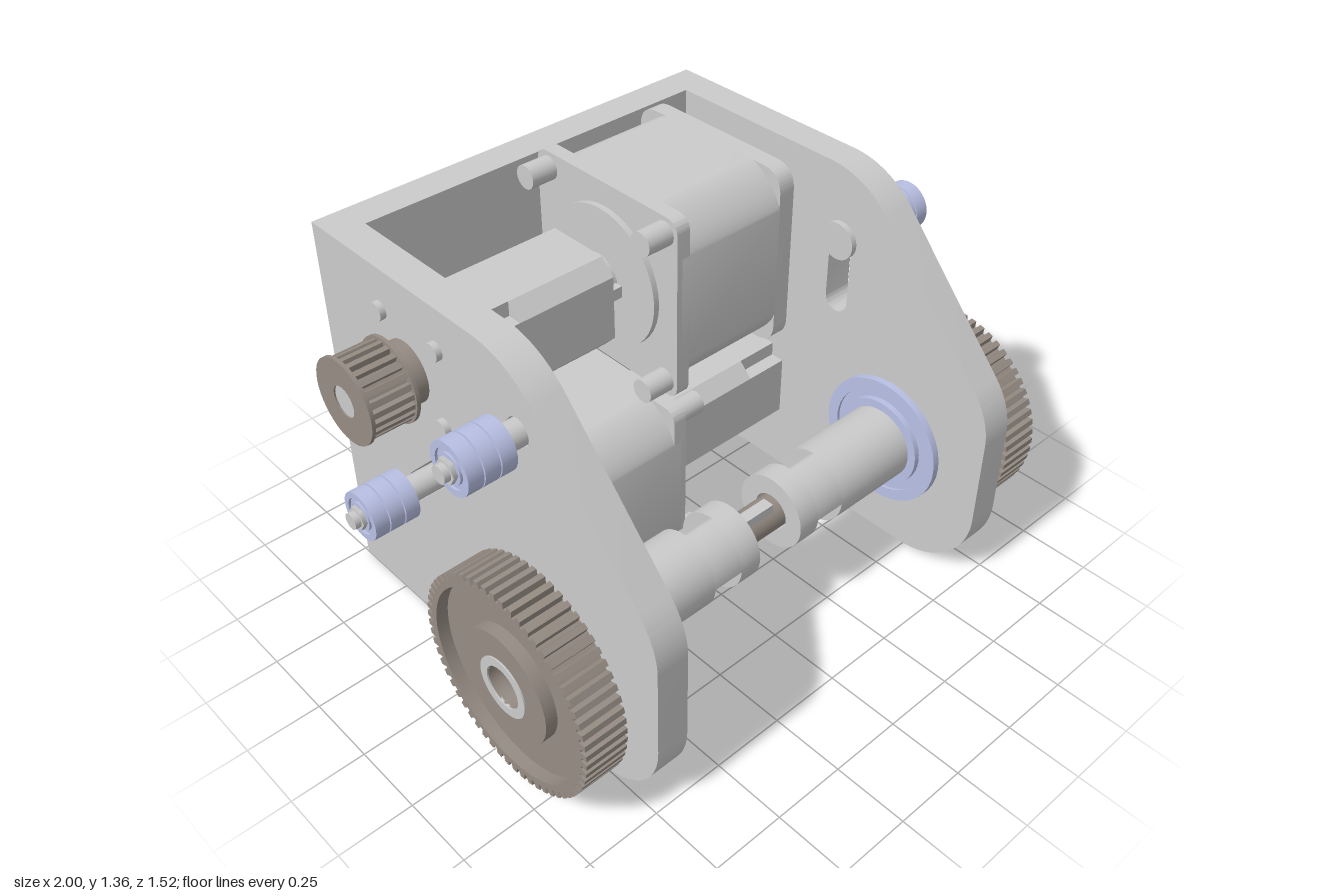
import * as THREE from 'three';
import { toCreasedNormals } from 'three/addons/utils/BufferGeometryUtils.js';

const mat = (color) => new THREE.MeshStandardMaterial({ color });
const grey = mat(0xcccccc), brown = mat(0x968c84), blue = mat(0xb9c0e4);

function add(parent, name, geo, material = grey) {
  const m = new THREE.Mesh(geo, material);
  m.name = name;
  parent.add(m);
  return m;
}
// Cylinder lying along x
function rod(parent, name, r, x0, x1, y, z, material = grey, seg = 40) {
  const g = new THREE.CylinderGeometry(r, r, Math.abs(x1 - x0), seg).rotateZ(-Math.PI / 2);
  return add(parent, name, g.translate((x0 + x1) / 2, y, z), material);
}
// Shape drawn in (-z, y), pushed along x from x0 to x1
function slab(parent, name, shape, x0, x1, y = 0, z = 0, material = grey) {
  const [a, b] = [Math.min(x0, x1), Math.max(x0, x1)];
  const g = new THREE.ExtrudeGeometry(shape, { depth: b - a, bevelEnabled: false, curveSegments: 20 });
  return add(parent, name, toCreasedNormals(g.rotateY(Math.PI / 2).translate(a, y, z), 0.5), material);
}
function box(parent, name, x0, x1, y0, y1, z0, z1) {
  const g = new THREE.BoxGeometry(x1 - x0, y1 - y0, z1 - z0);
  return add(parent, name, g.translate((x0 + x1) / 2, (y0 + y1) / 2, (z0 + z1) / 2));
}
const circle = (r, x = 0, y = 0, C = THREE.Path) => new C().absarc(x, y, r, 0, Math.PI * 2, false);
function ring(r, bore) {
  const s = circle(r, 0, 0, THREE.Shape);
  s.holes.push(circle(bore));
  return s;
}
// Rounded slot between two points
function slot(ax, ay, bx, by, r) {
  const t = Math.atan2(by - ay, bx - ax), h = Math.PI / 2;
  return new THREE.Path().absarc(bx, by, r, t - h, t + h, false)
    .absarc(ax, ay, r, t + h, t + 3 * h, false).closePath();
}
// Belt-tooth outline with a bore
function toothed(n, r, depth, bore) {
  const pts = [], step = (Math.PI * 2) / n;
  for (let i = 0; i < n; i++)
    for (const [f, d] of [[0, depth], [0.3, depth], [0.4, 0], [0.9, 0]])
      pts.push(new THREE.Vector2().setFromPolarCoords?.(1, 0) ??
        new THREE.Vector2(Math.cos((i + f) * step), Math.sin((i + f) * step)).multiplyScalar(r - d));
  const s = new THREE.Shape(pts);
  s.holes.push(circle(bore));
  return s;
}
// Square with corners cut: style 'round', 'scallop', 'chamfer' or 'step'
function square(h, c, style) {
  const s = new THREE.Shape();
  for (let i = 0; i < 4; i++) {
    const a = (i * Math.PI) / 2;
    const p = (x, y) => [x * Math.cos(a) - y * Math.sin(a), x * Math.sin(a) + y * Math.cos(a)];
    i === 0 ? s.moveTo(h, h - c) : s.lineTo(...p(h, h - c));
    if (style === 'round') s.quadraticCurveTo(...p(h, h), ...p(h - c, h));
    else if (style === 'scallop') s.bezierCurveTo(...p(h - c * 0.1, h - c * 0.6), ...p(h - c * 0.6, h - c * 0.1), ...p(h - c, h));
    else {
      if (style === 'step') s.lineTo(...p(h - c, h - c));
      s.lineTo(...p(h - c, h));
    }
  }
  return s.closePath();
}

// Side plate with sloping front and idler slots
function sidePlate(parent, side, slots) {
  const s = new THREE.Shape();
  s.moveTo(0.615, 0).lineTo(0.615, 1.32).lineTo(-0.04, 1.32);
  s.bezierCurveTo(-0.14, 1.32, -0.22, 1.28, -0.28, 1.22).lineTo(-0.69, 0.77);
  s.quadraticCurveTo(-0.76, 0.69, -0.76, 0.59).lineTo(-0.76, 0.28);
  s.absarc(-0.48, 0.28, 0.28, Math.PI, Math.PI * 1.5, false).closePath();
  s.holes.push(circle(0.14, -0.37, 0.4), ...slots);
  slab(parent, 'sidePlate', s, side * 0.64, side * 0.75);
}

// Motor, coupling and gearbox, output towards +x
function motorUnit() {
  const g = new THREE.Group();
  slab(g, 'motorBody', square(0.32, 0.13, 'scallop'), -0.41, 0);
  slab(g, 'motorFlange', square(0.32, 0.05, 'round'), -0.03, 0.02);
  slab(g, 'motorRearCap', square(0.318, 0.08, 'round'), -0.47, -0.41);
  rod(g, 'motorBoss', 0.24, 0.02, 0.04, 0, 0);
  rod(g, 'motorShaft', 0.03, 0.02, 0.16, 0, 0);
  slab(g, 'coupling', ring(0.085, 0.03), 0.05, 0.11);
  box(g, 'couplingClamp', 0.055, 0.105, -0.02, 0.02, 0.06, 0.11);
  slab(g, 'gearboxBody', square(0.16, 0.05, 'chamfer'), 0.13, 0.48);
  slab(g, 'gearboxNeck', square(0.16, 0.05, 'step'), 0.48, 0.64);
  box(g, 'connector', -0.45, -0.34, 0.31, 0.345, -0.07, 0.07);
  for (const y of [-1, 1]) for (const z of [-1, 1]) {
    rod(g, 'motorScrew', 0.04, 0.02, 0.115, y * 0.265, z * 0.265, grey, 20);
    rod(g, 'gearboxScrew', 0.03, 0.74, 0.77, y * 0.135, z * 0.135, grey, 16);
  }
  rod(g, 'gearboxOutput', 0.05, 0.64, 0.975, 0, 0);
  return g;
}

function pulley(parent, side, r, n, hubR, y, z) {
  const g = new THREE.Group();
  g.name = 'drivePulley';
  slab(g, 'pulleyTeeth', toothed(n, r - 0.008, 0.02, 0.05), side * 0.83, side * 0.975, y, z, brown);
  for (const x of [0.82, 0.968])
    slab(g, 'pulleyFlange', ring(r, 0.05), side * x, side * (x + 0.012), y, z, brown);
  slab(g, 'pulleyHub', ring(hubR, 0.05), side * 0.765, side * 0.82, y, z, brown);
  parent.add(g);
}

// Idler: stacked bearings on a bolt
function idler(parent, side, y, z) {
  const g = new THREE.Group();
  g.name = 'idler';
  rod(g, 'idlerBolt', 0.028, side * 0.62, side, y, z, grey, 20);
  rod(g, 'idlerHead', 0.065, side * 0.62, side * 0.64, y, z);
  rod(g, 'idlerSpacer', 0.042, side * 0.64, side * 0.81, y, z);
  for (let i = 0; i < 3; i++) {
    const x = 0.808 + i * 0.054;
    slab(g, 'idlerBearing', ring(0.083, 0.062), side * x, side * (x + 0.05), y, z, blue);
    slab(g, 'idlerInnerRing', ring(0.048, 0.026), side * x, side * (x + 0.05), y, z, blue);
    rod(g, 'idlerShield', 0.07, side * (x + 0.006), side * (x + 0.058 - (i === 2) * 0.016), y, z, blue);
  }
  rod(g, 'idlerNut', 0.04, side * 0.965, side * 0.98, y, z, grey, 6);
  parent.add(g);
}

// Wheel gear, hub, bearing and half of the split axle tube
function wheelSide(parent, side) {
  const y = 0.4, z = 0.37, bore = side > 0 ? 0.02 : 0.07, g = new THREE.Group();
  g.name = 'wheelAssembly';
  slab(g, 'gearRim', toothed(60, 0.357, 0.022, 0.315), side * 0.83, side * 0.975, y, z, brown);
  slab(g, 'gearWeb', ring(0.318, bore), side * 0.85, side * 0.935, y, z, brown);
  slab(g, 'gearBoss', ring(0.187, bore), side * 0.935, side * 0.975, y, z, brown);
  slab(g, 'gearHub', ring(0.185, bore), side * 0.755, side * 0.85, y, z, brown);
  if (side < 0) slab(g, 'boreRing', ring(0.1, 0.07), side * 0.97, side * 0.98, y, z);
  slab(g, 'bearingFlange', ring(0.23, 0.19), side * 0.615, side * 0.64, y, z, blue);
  slab(g, 'bearingShield', ring(0.19, 0.13), side * 0.625, side * 0.64, y, z, blue);
  slab(g, 'bearingInnerRing', ring(0.16, 0.125), side * 0.605, side * 0.64, y, z, blue);
  const tube = ring(0.13, 0.065);
  slab(g, 'axleTubeInner', tube, side * 0.09, side * 0.17, y, z);
  slab(g, 'axleTubeOuter', tube, side * 0.28, side * 0.76, y, z);
  // Clamp flats: the circle limited along one diagonal
  const pts = [];
  for (let i = 0; i < 48; i++) {
    const a = (i / 48) * Math.PI * 2 + Math.PI / 4;
    const p = THREE.MathUtils.clamp(0.13 * Math.cos(a - Math.PI / 4), -0.095, 0.095), q = 0.13 * Math.sin(a - Math.PI / 4);
    pts.push(new THREE.Vector2((p - q) * Math.SQRT1_2, (p + q) * Math.SQRT1_2));
  }
  const flats = new THREE.Shape(pts);
  flats.holes.push(circle(0.065));
  slab(g, 'axleTubeFlats', flats, side * 0.17, side * 0.28, y, z);
  parent.add(g);
}

export function createModel() {
  const model = new THREE.Group();
  model.name = 'twinMotorDrive';

  // Back plate with centre hole, counterbored edge screws and a bolt circle
  const back = new THREE.Shape();
  back.moveTo(-0.75, 0).lineTo(0.75, 0).lineTo(0.75, 1.32).lineTo(-0.75, 1.32).closePath();
  back.holes.push(circle(0.185, 0, 0.67));
  const screws = [];
  for (const x of [-0.7, 0.7]) for (let i = 0; i < 5; i++) screws.push([x, 0.13 + i * 0.265]);
  for (const [x, y] of screws) back.holes.push(circle(0.036, x, y));
  const backGeo = new THREE.ExtrudeGeometry(back, { depth: 0.115, bevelEnabled: false, curveSegments: 20 });
  add(model, 'backPlate', toCreasedNormals(backGeo.translate(0, 0, -0.73), 0.5));
  const pin = (name, r, x, y, z0, z1) => add(model, name,
    new THREE.CylinderGeometry(r, r, z1 - z0, 16).rotateX(Math.PI / 2).translate(x, y, (z0 + z1) / 2));
  for (const [x, y] of screws) pin('edgeScrew', 0.028, x, y, -0.72, -0.62);
  for (let i = 0; i < 6; i++) {
    const a = ((i + 0.5) * Math.PI) / 3, x = 0.265 * Math.cos(a), y = 0.667 + 0.265 * Math.sin(a);
    pin('plateBolt', 0.018, x, y, -0.765, -0.6);
    pin('plateBoltHead', 0.036, x, y, -0.615, -0.58);
  }

  sidePlate(model, 1, [slot(-0.11, 0.83, -0.11, 1.06, 0.045)]);
  sidePlate(model, -1, [slot(-0.22, 1.1, -0.06, 0.91, 0.045), slot(0.14, 0.75, 0.33, 0.56, 0.045)]);

  // Two identical motors, the upper one turned over to drive the other side
  const lower = motorUnit(), upper = motorUnit();
  lower.name = 'lowerMotor';
  lower.position.set(0, 0.35, -0.27);
  upper.name = 'upperMotor';
  upper.position.set(0, 1.04, -0.27);
  upper.rotation.z = Math.PI;
  model.add(lower, upper);
  pulley(model, 1, 0.19, 36, 0.14, 0.35, -0.27);
  pulley(model, -1, 0.137, 24, 0.1, 1.04, -0.27);

  idler(model, 1, 1.06, 0.11);
  idler(model, -1, 1.09, 0.21);
  idler(model, -1, 0.57, -0.32);

  // Front axle joining the two wheel sides
  wheelSide(model, 1);
  wheelSide(model, -1);
  rod(model, 'axle', 0.057, -0.3, 0.3, 0.4, 0.37, brown);
  box(model, 'axleKey', -0.06, 0.055, 0.43, 0.475, 0.37, 0.41);
  return model;
}
